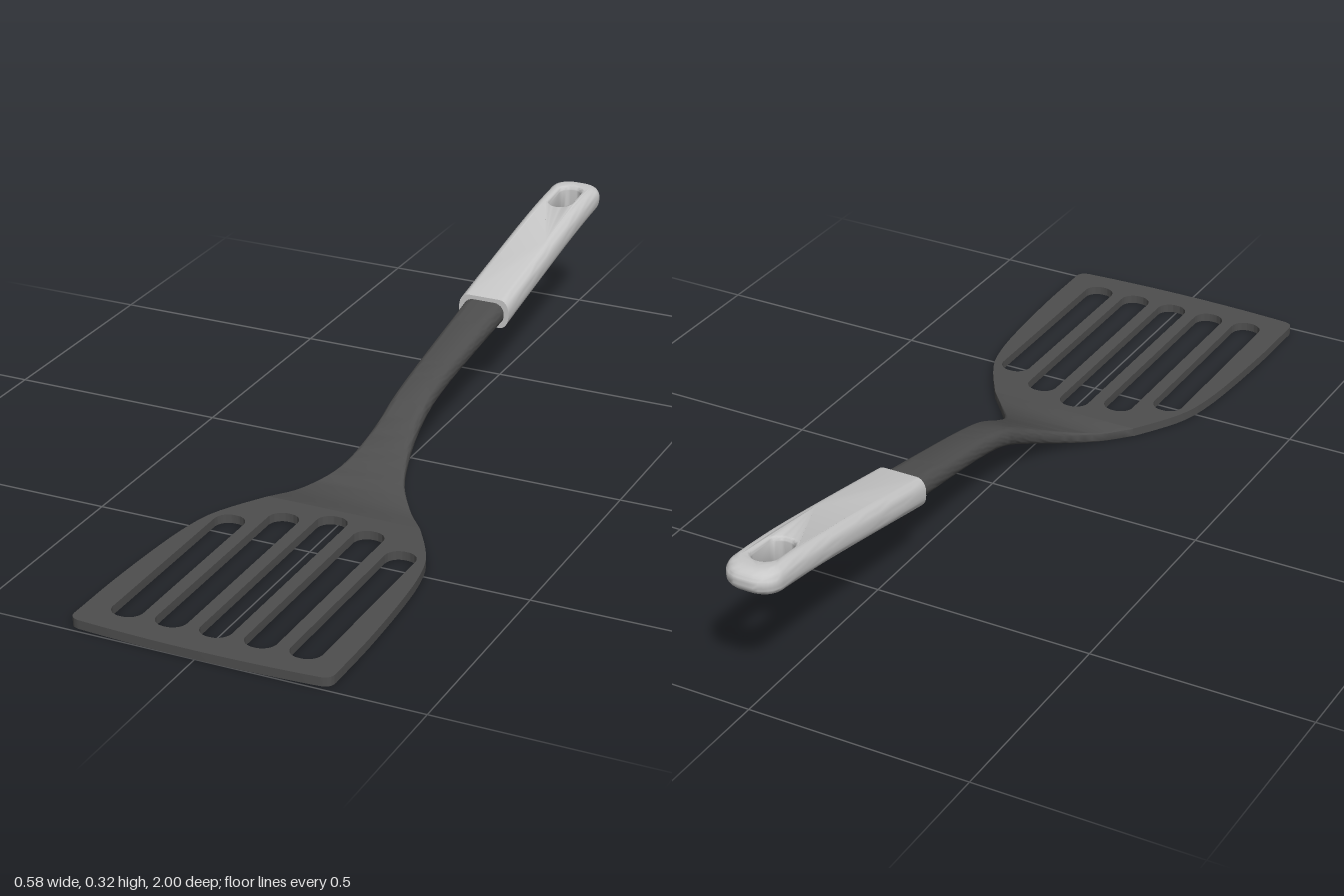
import * as THREE from 'three';
import { toCreasedNormals } from 'three/addons/utils/BufferGeometryUtils.js';

// Smooth (Hermite) lookup in a table whose rows are [z, value, value, ...]
function sample(table, z) {
  let i = 0;
  while (i < table.length - 2 && (z - table[i + 1][0]) * (table[1][0] - table[0][0]) > 0) i++;
  const a = table[i], b = table[i + 1], p = table[i - 1] || a, n = table[i + 2] || b;
  const d = b[0] - a[0], t = (z - a[0]) / d;
  return a.slice(1).map((va, j) => {
    const k = j + 1;
    const ma = (b[k] - p[k]) / (b[0] - p[0]) * d, mb = (n[k] - a[k]) / (n[0] - a[0]) * d;
    const t2 = t * t, t3 = t2 * t;
    return (2 * t3 - 3 * t2 + 1) * va + (t3 - 2 * t2 + t) * ma + (3 * t2 - 2 * t3) * b[k] + (t3 - t2) * mb;
  });
}

// Joins closed rings of points into triangles
function skin(rings, out) {
  for (let i = 0; i < rings.length - 1; i++) {
    const n = rings[i].length;
    for (let k = 0; k < n; k++) {
      const a = rings[i][k], b = rings[i][(k + 1) % n];
      const c = rings[i + 1][k], d = rings[i + 1][(k + 1) % n];
      out.push(a, c, b, b, c, d);
    }
  }
}

function toGeometry(points) {
  return toCreasedNormals(new THREE.BufferGeometry().setFromPoints(points), 0.6);
}

// Flat slotted blade
function bladeGeometry() {
  const edge = [[0.34, 0.18], [0.4, 0.218], [0.45, 0.245], [0.5, 0.262], [0.6, 0.277], [0.8, 0.289], [0.965, 0.291]];
  const side = [];
  for (let i = 0; i <= 24; i++) {
    const z = 0.34 + 0.625 * i / 24;
    side.push([sample(edge, z)[0], z]);
  }
  const shape = new THREE.Shape();
  shape.moveTo(...side[0]);
  side.slice(1).forEach(p => shape.lineTo(...p));
  shape.quadraticCurveTo(0.291, 0.988, 0.265, 0.99);
  shape.quadraticCurveTo(0, 1.01, -0.265, 0.99);
  shape.quadraticCurveTo(-0.291, 0.988, -0.291, 0.965);
  side.slice(0, -1).reverse().forEach(([x, z]) => shape.lineTo(-x, z));

  const w = 0.035, r = 0.032, end = 0.94;
  [[-0.2, 0.45], [-0.1, 0.395], [0, 0.365], [0.1, 0.395], [0.2, 0.45]].forEach(([x, start]) => {
    const slot = new THREE.Path();
    slot.absarc(x + w - r, end - r, r, 0, Math.PI / 2);
    slot.absarc(x - w + r, end - r, r, Math.PI / 2, Math.PI);
    slot.absarc(x - w + r, start + r, r, Math.PI, Math.PI * 1.5);
    slot.absarc(x + w - r, start + r, r, Math.PI * 1.5, Math.PI * 2);
    shape.holes.push(slot);
  });
  const geo = new THREE.ExtrudeGeometry(shape, { depth: 0.02, bevelEnabled: false, curveSegments: 10 });
  geo.rotateX(Math.PI / 2).translate(0, 0.02, 0);
  return toCreasedNormals(geo, 0.6);
}

// Curved neck: rounded rectangles lofted from the blade up to the handle
function neckGeometry() {
  // z, half width, centre height, half thickness, corner radius
  const stations = [
    [0.34, 0.18, 0.01, 0.01, 0.001],
    [0.28, 0.13, 0.0135, 0.011, 0.003],
    [0.2, 0.079, 0.037, 0.015, 0.009],
    [0.1, 0.052, 0.082, 0.02, 0.016],
    [0, 0.044, 0.127, 0.023, 0.02],
    [-0.1, 0.043, 0.152, 0.0245, 0.022],
    [-0.25, 0.046, 0.177, 0.0255, 0.023],
    [-0.42, 0.051, 0.202, 0.0265, 0.024],
  ];
  const rings = [];
  for (let i = 0; i <= 48; i++) {
    const z = 0.34 - 0.76 * i / 48;
    const [w, y, h, r] = sample(stations, z);
    const ring = [];
    [[1, 1], [-1, 1], [-1, -1], [1, -1]].forEach(([sx, sy], q) => {
      for (let k = 0; k <= 6; k++) {
        const a = (q + k / 6) * Math.PI / 2;
        ring.push(new THREE.Vector3(sx * (w - r) + r * Math.cos(a), y + sy * (h - r) + r * Math.sin(a), z));
      }
    });
    rings.push(ring);
  }
  const out = [];
  skin(rings, out);
  return toGeometry(out);
}

// Rounded handle with a hanging hole through its end
function handleGeometry() {
  // z, centre height, half thickness
  const spine = [[-0.4, 0.2, 0.035], [-0.6, 0.237, 0.034], [-0.8, 0.272, 0.0325], [-0.93, 0.289, 0.0305], [-1, 0.294, 0.027]];
  const place = (x, u, z) => {
    const [y, h] = sample(spine, z);
    return new THREE.Vector3(x, y + u * h, z);
  };

  // Outline with a rounded tip and a square front end
  const outline = inset => {
    const w = 0.062 - inset, tip = -1 + inset * 1.5, r = 0.05 - inset, half = [];
    for (let k = 0; k <= 8; k++) {
      const a = k / 8 * Math.PI / 2;
      half.push([w - r + r * Math.sin(a), tip + r - r * Math.cos(a)]);
    }
    const z0 = tip + r;
    for (let k = 1; k <= 12; k++) half.push([w, z0 + (-0.4 - z0) * k / 12]);
    return half.concat(half.slice().reverse().map(([x, z]) => [-x, z]));
  };
  const hole = grow => {
    const pts = [], r = 0.028 + grow;
    for (let k = 0; k < 32; k++) {
      const a = -(k + 0.5) / 32 * Math.PI * 2;
      pts.push([r * Math.cos(a), -0.89 + Math.sign(Math.sin(a)) * 0.027 + r * Math.sin(a)]);
    }
    return pts;
  };

  // Stacks a contour from bottom to top, rounding both rims
  const stack = (contour, size, round) => {
    const rings = [];
    for (const s of [-1, 1]) {
      for (let k = 0; k <= 6; k++) {
        const a = (s < 0 ? k / 6 - 1 : k / 6) * Math.PI / 2;
        const u = s * (1 - round) + round * Math.sin(a);
        rings.push(contour(size * (1 - Math.cos(a))).map(([x, z]) => place(x, u, z)));
      }
    }
    return rings;
  };
  const outer = stack(outline, 0.022, 0.86), inner = stack(hole, 0.008, 0.35);
  const out = [];
  skin(outer, out);
  skin(inner, out);

  // Top and bottom faces between the outline and the hole
  const flat = ring => ring.map(p => new THREE.Vector2(p.x, p.z));
  for (const up of [true, false]) {
    const o = up ? outer.at(-1) : outer[0], i = up ? inner.at(-1) : inner[0];
    const pts = [...o, ...i];
    THREE.ShapeUtils.triangulateShape(flat(o), [flat(i)]).forEach(f => {
      const [a, b, c] = f.map(n => pts[n]);
      const ny = (b.z - a.z) * (c.x - a.x) - (b.x - a.x) * (c.z - a.z);
      if ((ny > 0) === up) out.push(a, b, c);
      else out.push(a, c, b);
    });
  }
  return toGeometry(out);
}

export function createModel() {
  const darkGrey = new THREE.MeshStandardMaterial({ color: 0x4e4e4e });
  darkGrey.name = 'dark grey';
  const lightGrey = new THREE.MeshStandardMaterial({ color: 0xc8c8c8 });
  lightGrey.name = 'light grey';

  const group = new THREE.Group();
  group.name = 'slottedTurner';
  const add = (name, geometry, material) => {
    const mesh = new THREE.Mesh(geometry, material);
    mesh.name = name;
    group.add(mesh);
  };
  add('blade', bladeGeometry(), darkGrey);
  add('neck', neckGeometry(), darkGrey);
  add('handle', handleGeometry(), lightGrey);
  return group;
}
